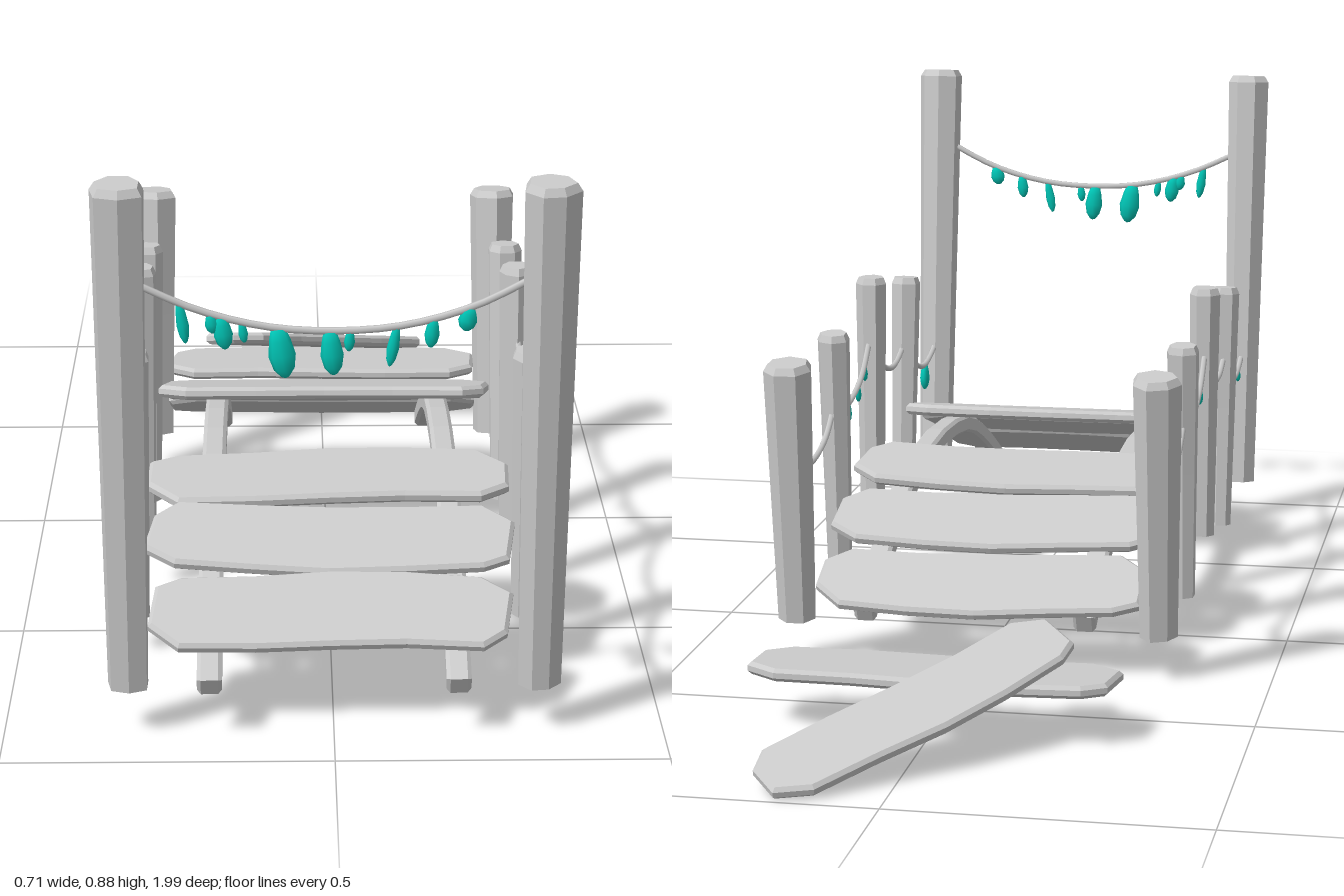
import * as THREE from 'three';

const wood = new THREE.MeshStandardMaterial({ color: 0xcccccc, flatShading: true });
const ropeMat = new THREE.MeshStandardMaterial({ color: 0xcccccc });
const crystal = new THREE.MeshStandardMaterial({ color: 0x00c8b8 });

// small seeded generator, returns -1..1
let seed = 7;
const rand = () => {
  seed = (seed * 16807) % 2147483647;
  return (seed / 2147483647) * 2 - 1;
};
const V = (x, y, z) => new THREE.Vector3(x, y, z);

function add(parent, name, geo, mat) {
  const mesh = new THREE.Mesh(geo, mat);
  mesh.name = name;
  parent.add(mesh);
  return mesh;
}

// rough hewn post between two points, with a chamfered top
function post(parent, name, a, b, r0, r1) {
  const sides = 7;
  const len = a.distanceTo(b);
  const wobble = Array.from({ length: sides }, () => 1 + rand() * 0.09);
  const rings = [[0, 0], [0, r0], [len * 0.5, (r0 + r1) / 2], [len - 0.012, r1], [len, r1 * 0.82], [len, 0]];
  const geo = new THREE.LatheGeometry(rings.map(([y, r]) => new THREE.Vector2(r, y)), sides, rand());
  const p = geo.attributes.position;
  for (let i = 0; i < p.count; i++) {
    const k = wobble[Math.floor(i / rings.length) % sides];
    p.setX(i, p.getX(i) * k);
    p.setZ(i, p.getZ(i) * k);
  }
  const mesh = add(parent, name, geo, wood);
  mesh.position.copy(a);
  mesh.quaternion.setFromUnitVectors(V(0, 1, 0), b.clone().sub(a).normalize());
  return mesh;
}

// worn plank lying flat: length along x, wavy long edges, clipped corners
function plank(parent, name, length, width) {
  const bevel = 0.006, h = length / 2 - bevel, w = width / 2 - bevel;
  const phase = rand() * 3;
  const wave = (u) => Math.sin(u * 3.2 + phase) * 0.007;
  const pts = [];
  for (const s of [-1, 1]) {
    for (const u of [-0.84, -0.42, 0, 0.42, 0.84]) {
      pts.push(new THREE.Vector2(-s * u * h, -s * u === 0 ? s * w + wave(0) : s * w * (1 - 0.08 * Math.abs(u)) + wave(-s * u)));
    }
    pts.push(new THREE.Vector2(-s * h * (0.97 + rand() * 0.02), s * w * 0.6));
    pts.push(new THREE.Vector2(-s * h, -s * w * (0.4 + rand() * 0.15)));
  }
  const geo = new THREE.ExtrudeGeometry(new THREE.Shape(pts), {
    depth: 0.009, bevelEnabled: true, bevelThickness: 0.006, bevelSize: bevel, bevelSegments: 1,
  });
  geo.translate(0, 0, -0.0045).rotateX(-Math.PI / 2);
  return add(parent, name, geo, wood);
}

// teardrop crystal hanging from its origin
const dropProfile = [[0, 0], [0.28, -0.04], [0.4, -0.25], [0.5, -0.55], [0.38, -0.82], [0.15, -0.97], [0, -1]]
  .map(([x, y]) => new THREE.Vector2(x, y)).reverse();
function drop(parent, at, len, width, turn) {
  const mesh = add(parent, 'hangingCrystal', new THREE.LatheGeometry(dropProfile, 8), crystal);
  mesh.scale.set(width, len, width * 0.65);
  mesh.position.copy(at);
  mesh.rotation.set(0, turn, rand() * 0.18);
}

function rope(parent, name, points) {
  const curve = new THREE.CatmullRomCurve3(points);
  add(parent, name, new THREE.TubeGeometry(curve, 20, 0.0055, 6), ropeMat);
  return curve;
}

// find a point on a rope by one coordinate
function pointAt(curve, axis, value) {
  return curve.getPoints(80).reduce((best, p) =>
    Math.abs(p[axis] - value) < Math.abs(best[axis] - value) ? p : best);
}

export function createModel() {
  const root = new THREE.Group();
  root.name = 'footbridge';

  // posts: bottom z, bottom y, top z, top y, bottom radius, top radius
  const posts = [
    ['tallPost', 0.882, 0.08, 0.955, 0.885, 0.032, 0.041],
    ['railPost', 0.575, 0.065, 0.61, 0.52, 0.022, 0.029],
    ['railPost', 0.315, 0.11, 0.315, 0.57, 0.022, 0.028],
    ['railPost', 0.05, 0.065, 0.015, 0.52, 0.022, 0.029],
    ['endPost', -0.265, 0.08, -0.312, 0.53, 0.034, 0.043],
  ];
  // side ropes as z, y points and the crystals hung on each side
  const ropes = [
    [[0.9, 0.34], [0.85, 0.322], [0.78, 0.312], [0.69, 0.335], [0.6, 0.4]],
    [[0.595, 0.39], [0.53, 0.368], [0.47, 0.367], [0.39, 0.395], [0.315, 0.465]],
    [[0.315, 0.465], [0.24, 0.4], [0.16, 0.373], [0.09, 0.37], [0.025, 0.39]],
    [[0.025, 0.39], [-0.04, 0.345], [-0.12, 0.325], [-0.2, 0.328], [-0.29, 0.36]],
  ];
  const hung = {
    '1': [[[0.79, 0.05, 0.03], [0.66, 0.035, 0.02]], [],
      [[0.26, 0.03, 0.018], [0.21, 0.03, 0.018], [0.13, 0.035, 0.02]], [[-0.18, 0.025, 0.014], [-0.22, 0.035, 0.016]]],
    '-1': [[[0.83, 0.025, 0.018], [0.66, 0.035, 0.02]], [[0.46, 0.035, 0.014]],
      [[0.235, 0.028, 0.02], [0.09, 0.03, 0.018]], [[-0.06, 0.025, 0.014], [-0.13, 0.035, 0.018], [-0.2, 0.028, 0.014]]],
  };
  for (const s of [1, -1]) {
    for (const [name, z0, y0, z1, y1, r0, r1] of posts) {
      post(root, name, V(s * 0.31, y0, z0), V(s * 0.31, y1, z1), r0, r1);
    }
    ropes.forEach((pts, i) => {
      const curve = rope(root, 'sideRope', pts.map(([z, y]) => V(s * 0.312, y, z)));
      for (const [z, len, w] of hung[s][i]) drop(root, pointAt(curve, 'z', z), len, w, Math.PI / 2);
    });
  }

  // front rope with its crystals: x, length, width
  const front = rope(root, 'frontRope',
    [[-0.3, 0.737], [-0.2, 0.692], [-0.1, 0.666], [0, 0.659], [0.1, 0.667], [0.2, 0.695], [0.3, 0.745]]
      .map(([x, y]) => V(x, y, 0.942)));
  const frontDrops = [[-0.223, 0.062, 0.018], [-0.178, 0.03, 0.02], [-0.163, 0.05, 0.028], [-0.135, 0.032, 0.014],
    [-0.085, 0.077, 0.04], [-0.008, 0.068, 0.034], [0.021, 0.032, 0.016], [0.092, 0.062, 0.018],
    [0.14, 0.044, 0.022], [0.193, 0.036, 0.028]];
  for (const [x, len, w] of frontDrops) drop(root, pointAt(front, 'x', x), len, w, 0);

  // arched beams: centre line as (z, y)
  const arch = new THREE.SplineCurve([[0.915, 0.092], [0.815, 0.143], [0.675, 0.207], [0.525, 0.254], [0.31, 0.273],
    [0.095, 0.254], [-0.055, 0.207], [-0.195, 0.143], [-0.28, 0.1]].map(([z, y]) => new THREE.Vector2(z, y)));
  const upper = [], lower = [];
  for (let i = 0; i <= 16; i++) {
    const p = arch.getPoint(i / 16), t = arch.getTangent(i / 16);
    const n = new THREE.Vector2(t.y, -t.x).multiplyScalar(0.011);
    upper.push(p.clone().add(n));
    lower.unshift(p.clone().sub(n));
  }
  const beamGeo = new THREE.ExtrudeGeometry(new THREE.Shape([...upper, ...lower]), {
    depth: 0.026, bevelEnabled: true, bevelThickness: 0.006, bevelSize: 0.005, bevelSegments: 1,
  });
  beamGeo.translate(0, 0, -0.013).rotateY(-Math.PI / 2);
  for (const s of [1, -1]) add(root, 'archBeam', beamGeo, wood).position.x = s * 0.188;

  // deck planks following the arch, with a gap in the middle
  const samples = arch.getPoints(200);
  for (const z of [0.818, 0.677, 0.525, 0.068, -0.085, -0.238]) {
    let i = 1;
    while (i < 199 && samples[i].x > z) i++;
    const slope = Math.atan2(samples[i + 1].y - samples[i - 1].y, samples[i + 1].x - samples[i - 1].x);
    const m = plank(root, 'deckPlank', 0.57 + rand() * 0.012, 0.152);
    m.position.set(-0.003, samples[i].y + 0.025, z);
    m.rotation.set(-Math.atan(Math.tan(slope)), rand() * 0.025, 0);
  }

  // two loose planks behind the bridge, one leaning over the other
  plank(root, 'loosePlank', 0.595, 0.147).position.set(0, 0.098, -0.605);
  const tilt = new THREE.Group();
  tilt.name = 'leaningPlank';
  tilt.position.set(-0.008, 0.091, -0.77);
  tilt.rotation.x = -0.337;
  plank(tilt, 'loosePlank', 0.58, 0.142).rotation.y = 0.86;
  root.add(tilt);

  return root;
}
